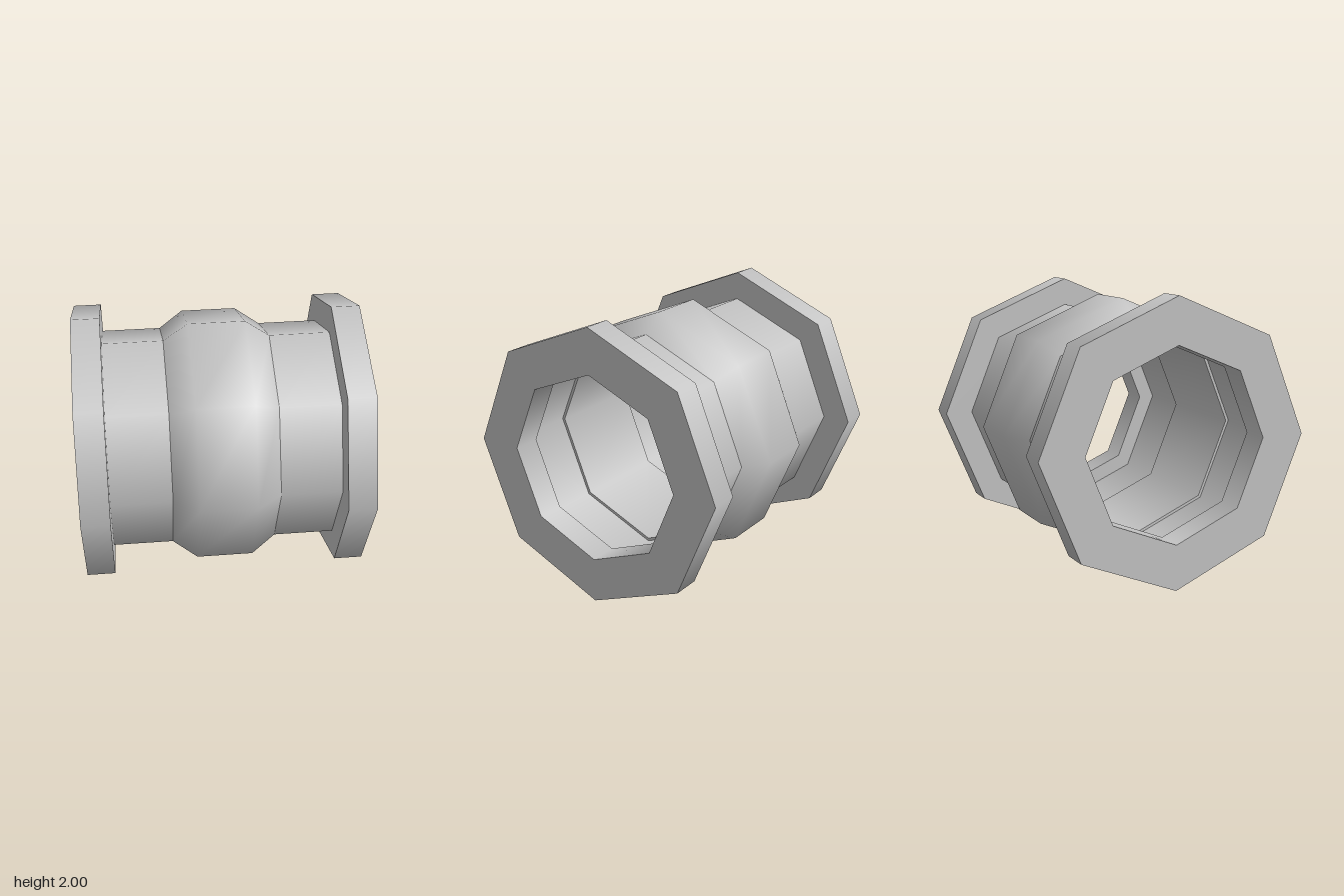
import * as THREE from 'three';

const SIDES = 8;

export function createModel() {
  const grey = new THREE.MeshStandardMaterial({ color: 0xc4c4c4, side: THREE.DoubleSide });
  grey.name = 'light grey';

  // Revolves [radius, height] points around the pipe axis
  const lathe = (points) => new THREE.Mesh(
    new THREE.LatheGeometry(points.map(([r, h]) => new THREE.Vector2(r, h)), SIDES), grey);

  // Closed ring with sharp rims: one smooth strip per profile edge
  const ring = (outer, inner, from, to) => {
    const profile = [[outer, from], [outer, to], [inner, to], [inner, from]];
    const group = new THREE.Group();
    profile.forEach((p, i) => group.add(lathe([p, profile[(i + 1) % 4]])));
    return group;
  };

  const body = new THREE.Group();
  body.name = 'pipeCoupling';

  // End flanges and thin pipe sections, mirrored left and right
  for (const [side, s] of [['left', 1], ['right', -1]]) {
    const flange = ring(1, 0.676, s > 0 ? 0.8 : -1, s > 0 ? 1 : -0.8);
    flange.name = side + 'Flange';
    const pipe = lathe(s > 0 ? [[0.797, 0.37], [0.797, 0.8]] : [[0.797, -0.8], [0.797, -0.37]]);
    pipe.name = side + 'Pipe';
    body.add(flange, pipe);
  }

  // Swollen middle with softly rounded shading
  const bulge = lathe([[0.797, -0.372], [0.922, -0.2], [0.922, 0.2], [0.797, 0.372]]);
  bulge.name = 'bulge';

  // Liner inside the bulge, slightly narrower than the pipe
  const liner = ring(0.797, 0.775, -0.37, 0.37);
  liner.name = 'innerLiner';
  body.add(bulge, liner);

  // Lay the axis along x and rest it on the ground
  body.rotation.z = -Math.PI / 2;
  body.position.y = 1;

  const model = new THREE.Group();
  model.name = 'coupling';
  model.add(body);
  return model;
}
